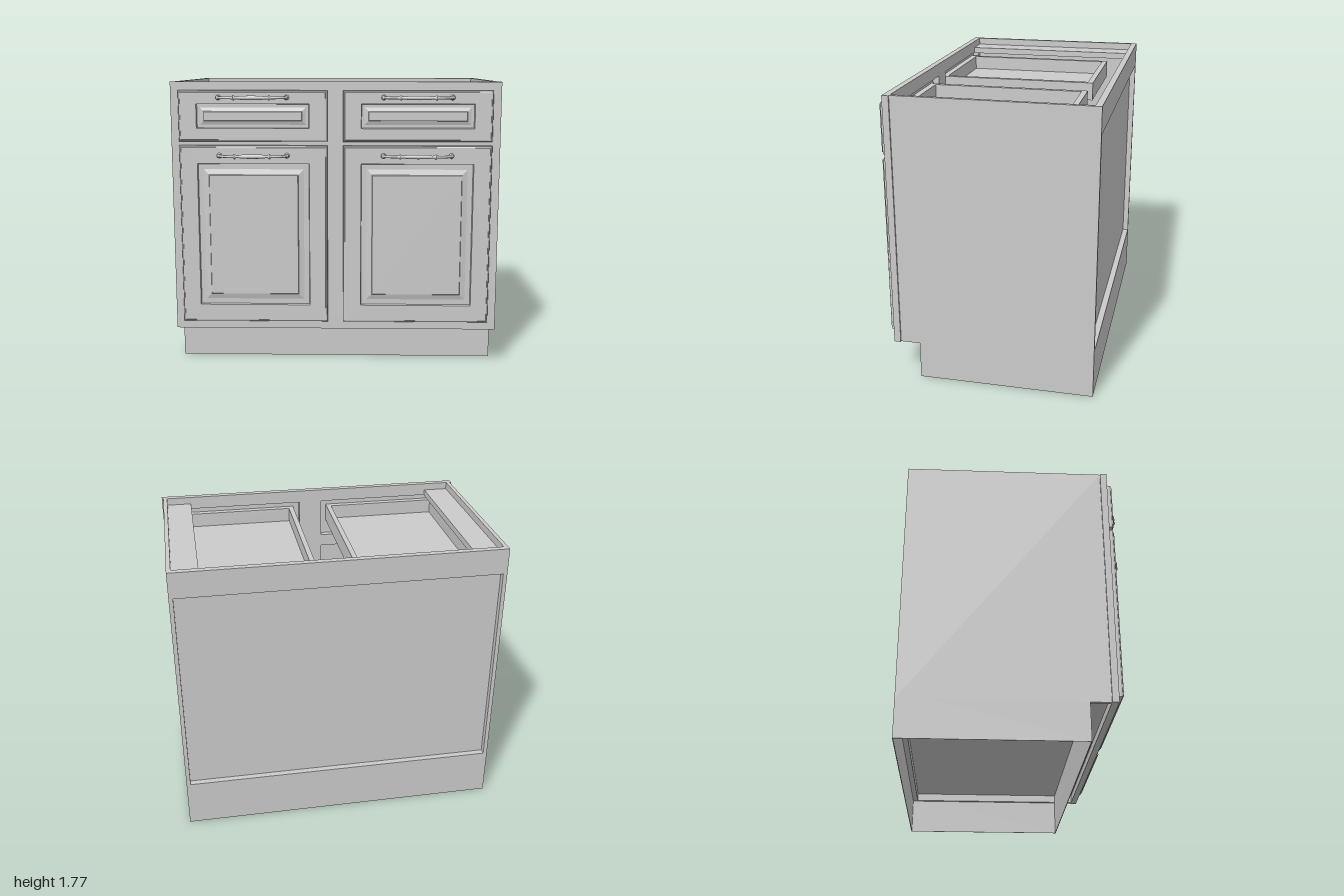
import * as THREE from 'three';

const material = new THREE.MeshStandardMaterial({ color: 0xcccccc, flatShading: true });
const smooth = new THREE.MeshStandardMaterial({ color: 0xcccccc });

function add(parent, name, geometry, mat = material) {
  const mesh = new THREE.Mesh(geometry, mat);
  mesh.name = name;
  parent.add(mesh);
  return mesh;
}

// Box given by its limits on each axis
function board(parent, name, [x0, x1], [y0, y1], [z0, z1]) {
  const mesh = add(parent, name, new THREE.BoxGeometry(x1 - x0, y1 - y0, z1 - z0));
  mesh.position.set((x0 + x1) / 2, (y0 + y1) / 2, (z0 + z1) / 2);
}

function rectangle(Type, x0, x1, y0, y1) {
  const r = new Type();
  r.moveTo(x0, y0);
  r.lineTo(x1, y0);
  r.lineTo(x1, y1);
  r.lineTo(x0, y1);
  r.closePath();
  return r;
}

// Moulded front: nested rectangles, each [inset x, inset y, z], joined and capped
function mouldedPanel(w, h, steps) {
  const rings = steps.map(([ix, iy, z]) => {
    const x = w / 2 - ix, y = h / 2 - iy;
    return [[-x, -y, z], [x, -y, z], [x, y, z], [-x, y, z]];
  });
  const pos = [];
  const quad = (a, b, c, d) => pos.push(...a, ...b, ...c, ...a, ...c, ...d);
  for (let k = 0; k < rings.length - 1; k++) {
    const a = rings[k], b = rings[k + 1];
    for (let i = 0; i < 4; i++) {
      const j = (i + 1) % 4;
      quad(a[i], a[j], b[j], b[i]);
    }
  }
  const back = rings[0], front = rings[rings.length - 1];
  quad(back[3], back[2], back[1], back[0]);
  quad(...front);
  const geo = new THREE.BufferGeometry();
  geo.setAttribute('position', new THREE.Float32BufferAttribute(pos, 3));
  geo.computeVertexNormals();
  return geo;
}

const lathe = (points) =>
  new THREE.LatheGeometry(points.map(([r, y]) => new THREE.Vector2(r, y)), 16);

// Turned bar handle on two bowed arms, standing out along +z
function makeHandle() {
  const handle = new THREE.Group();
  handle.name = 'handle';
  const half = [[0.008, 0], [0.009, 0.012], [0.016, 0.016], [0.016, 0.021],
    [0.010, 0.026], [0.008, 0.04], [0.012, 0.065], [0.013, 0.125]];
  const mirrored = half.slice().reverse().map(([r, y]) => [r, 0.25 - y]);
  const grip = lathe([...half, ...mirrored.slice(1)]);
  grip.translate(0, -0.125, 0).rotateZ(-Math.PI / 2);
  add(handle, 'handleGrip', grip, smooth).position.z = 0.06;

  for (const s of [-1, 1]) {
    const foot = lathe([[0.016, 0], [0.016, 0.005], [0.008, 0.011],
      [0.013, 0.018], [0.013, 0.024], [0, 0.031]]).rotateX(Math.PI / 2);
    add(handle, 'handleFoot', foot, smooth).position.x = s * 0.205;
    const path = new THREE.CatmullRomCurve3([
      [0.205, 0.018], [0.193, 0.037], [0.17, 0.052], [0.14, 0.059], [0.115, 0.06],
    ].map(([x, z]) => new THREE.Vector3(s * x, 0, z)));
    add(handle, 'handleArm', new THREE.TubeGeometry(path, 14, 0.008, 10), smooth);
  }
  return handle;
}

// Open-topped drawer box around the given centre
function makeDrawerBox(cx) {
  const box = new THREE.Group();
  box.name = 'drawerBox';
  const x0 = cx - 0.385, x1 = cx + 0.385, t = 0.032, y = [1.535, 1.65];
  board(box, 'drawerSide', [x0, x0 + t], y, [-0.47, 0.52]);
  board(box, 'drawerSide', [x1 - t, x1], y, [-0.47, 0.52]);
  board(box, 'drawerBack', [x0 + t, x1 - t], y, [-0.47, -0.434]);
  board(box, 'drawerInnerFront', [x0, x1], y, [0.52, 0.56]);
  board(box, 'drawerBottom', [x0 + t, x1 - t], [1.54, 1.56], [-0.434, 0.52]);
  return box;
}

export function createModel() {
  const model = new THREE.Group();
  model.name = 'baseCabinet';

  // Carcass sides and the stretchers along their tops
  for (const s of [-1, 1]) {
    const span = (a, b) => (s > 0 ? [a, b] : [-b, -a]);
    board(model, 'sidePanel', span(0.965, 0.99), [0.23, 1.77], [-0.67, 0.52]);
    board(model, 'topStretcher', span(0.81, 0.965), [1.685, 1.725], [-0.632, 0.52]);
  }

  // Thin plinth skirt, set back at the toe
  const skirt = rectangle(THREE.Shape, -0.99, 0.99, -0.40, 0.67);
  skirt.holes.push(rectangle(THREE.Path, -0.986, 0.986, -0.396, 0.666));
  const skirtGeo = new THREE.ExtrudeGeometry(skirt, { depth: 0.28, bevelEnabled: false });
  add(model, 'toeKick', skirtGeo.rotateX(-Math.PI / 2));

  // Floor and back
  const inner = [-0.965, 0.965];
  board(model, 'cabinetFloor', inner, [0.28, 0.31], [-0.632, 0.52]);
  board(model, 'backTopRail', inner, [1.61, 1.77], [-0.67, -0.632]);
  board(model, 'backBottomRail', inner, [0.23, 0.30], [-0.67, -0.632]);
  board(model, 'backPanel', inner, [0.28, 1.66], [-0.632, -0.612]);

  // Face frame with two drawer and two door openings
  const frame = rectangle(THREE.Shape, -1, 1, 0.23, 1.77);
  for (const [x0, x1] of [[-0.925, -0.075], [0.075, 0.925]]) {
    frame.holes.push(rectangle(THREE.Path, x0, x1, 1.44, 1.69));
    frame.holes.push(rectangle(THREE.Path, x0, x1, 0.31, 1.36));
  }
  const frameGeo = new THREE.ExtrudeGeometry(frame, { depth: 0.04, bevelEnabled: false });
  add(model, 'faceFrame', frameGeo).position.z = 0.52;

  // Shared outer edge moulding of doors and drawer fronts
  const edge = [[0, 0, 0], [0, 0, 0.023], [0.003, 0.003, 0.03],
    [0.010, 0.010, 0.033], [0.012, 0.012, 0.038]];
  const doorSteps = [...edge, [0.110, 0.110, 0.038], [0.113, 0.113, 0.02],
    [0.145, 0.145, 0.02], [0.178, 0.178, 0.03], [0.181, 0.181, 0.036]];
  const drawerSteps = [...edge, [0.110, 0.080, 0.038], [0.113, 0.083, 0.02],
    [0.130, 0.102, 0.02], [0.153, 0.125, 0.028], [0.156, 0.128, 0.036]];

  for (const s of [-1, 1]) {
    const x = s * 0.498;
    add(model, 'door', mouldedPanel(0.902, 1.104, doorSteps)).position.set(x, 0.835, 0.56);
    add(model, 'drawerFront', mouldedPanel(0.902, 0.308, drawerSteps)).position.set(x, 1.565, 0.56);
    model.add(makeDrawerBox(s * 0.5));
    for (const y of [1.327, 1.677]) {
      const handle = makeHandle();
      handle.position.set(s * 0.4975, y, 0.597);
      model.add(handle);
    }
  }
  return model;
}
